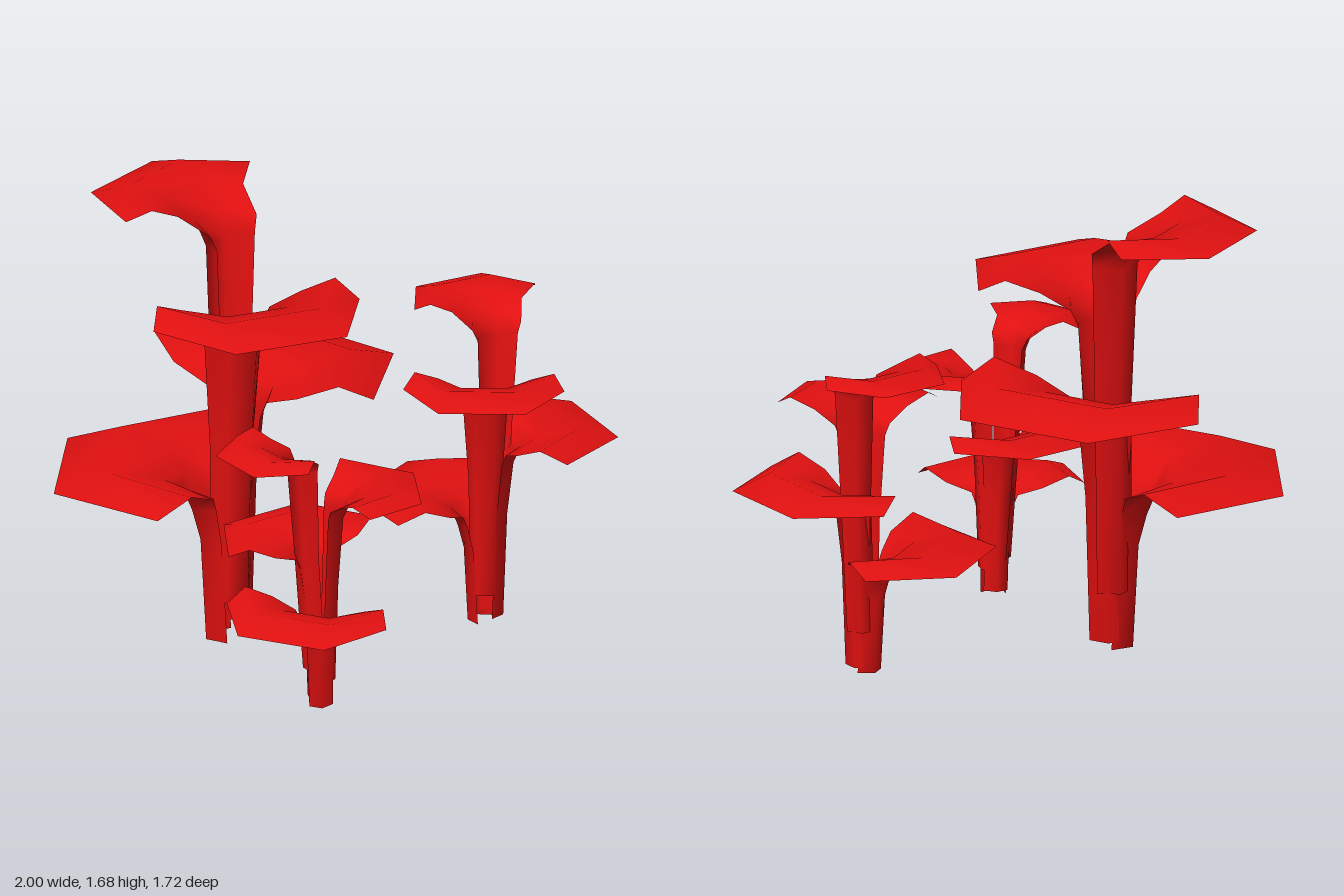
import * as THREE from 'three';

const leafRed = new THREE.MeshStandardMaterial({ color: 0xe01010, side: THREE.DoubleSide });
leafRed.name = 'leaf red';

// One leaf: a channel-shaped stalk that opens into a broad, down-turned blade.
// Local axes: +x points outward, z is sideways. The blade scales by k about x = 0.41.
function leafGeometry({ base, height: h, k, shift }) {
  const b = (x) => 0.41 + k * (x - 0.41);
  // each row: side edge [out, y, half width], then back corner [out, y, half width], sideways shift
  const rows = [
    [0.0, base, 0.075, 0.08, base, 0.04, shift * 0.3],
    [0.02, h * 0.55, 0.085, 0.1, h * 0.55, 0.045, shift * 0.8],
    [0.035, h - 0.18, 0.115, 0.13, h - 0.2, 0.055, shift],
    [0.045, h - 0.12, 0.14, 0.165, h - 0.11, 0.07, shift],
    [b(0.15), h - 0.045 * k, 0.2 * k, b(0.28), h - 0.035 * k, 0.1 * k, shift],
    [b(0.193), h, 0.3 * k, b(0.41), h, 0.16 * k, shift],
    [b(0.275), h - 0.048 * k, 0.347 * k, b(0.55), h - 0.048 * k, 0.1875 * k, shift],
  ];
  const pos = [], index = [];
  rows.forEach(([er, ey, ew, mr, my, mw, s], i) => {
    pos.push(er, ey, s - ew, mr, my, s - mw, mr, my, s + mw, er, ey, s + ew);
    if (i === 0) return;
    for (let j = 0; j < 3; j++) {
      const a = (i - 1) * 4 + j, c = i * 4 + j;
      index.push(a, a + 1, c, a + 1, c + 1, c);
    }
  });
  const g = new THREE.BufferGeometry();
  g.setAttribute('position', new THREE.Float32BufferAttribute(pos, 3));
  g.setIndex(index);
  g.computeVertexNormals();
  return g;
}

// Four leaves spiralling up around a shared hollow centre
const leaves = [
  { name: 'lowestLeaf', angle: 180, base: 0, height: 0.71, k: 1.45, shift: 0 },
  { name: 'lowerLeaf', angle: 304, base: 0.03, height: 1.05, k: 1.44, shift: 0 },
  { name: 'upperLeaf', angle: 61.6, base: 0.16, height: 1.4, k: 1.17, shift: 0 },
  { name: 'topLeaf', angle: 211, base: 0.22, height: 1.68, k: 1, shift: 0.09 },
].map((leaf) => ({ ...leaf, geometry: leafGeometry(leaf) }));

const rad = THREE.MathUtils.degToRad;

function plant(name, x, z, scale, turn, tilt) {
  const group = new THREE.Group();
  group.name = name;
  for (const leaf of leaves) {
    const mesh = new THREE.Mesh(leaf.geometry, leafRed);
    mesh.name = leaf.name;
    mesh.rotation.y = -rad(leaf.angle);
    group.add(mesh);
  }
  group.position.set(x, 0, z);
  group.rotation.set(tilt, -rad(turn), 0);
  group.scale.setScalar(scale);
  return group;
}

export function createModel() {
  const model = new THREE.Group();
  model.name = 'leafyPlants';
  model.add(
    plant('tallPlant', -0.39, -0.18, 1, 0, 0),
    plant('mediumPlant', 0.52, -0.42, 0.72, 25, 0),
    plant('smallPlant', 0, 0.43, 0.62, -73, 0.05),
  );
  return model;
}
